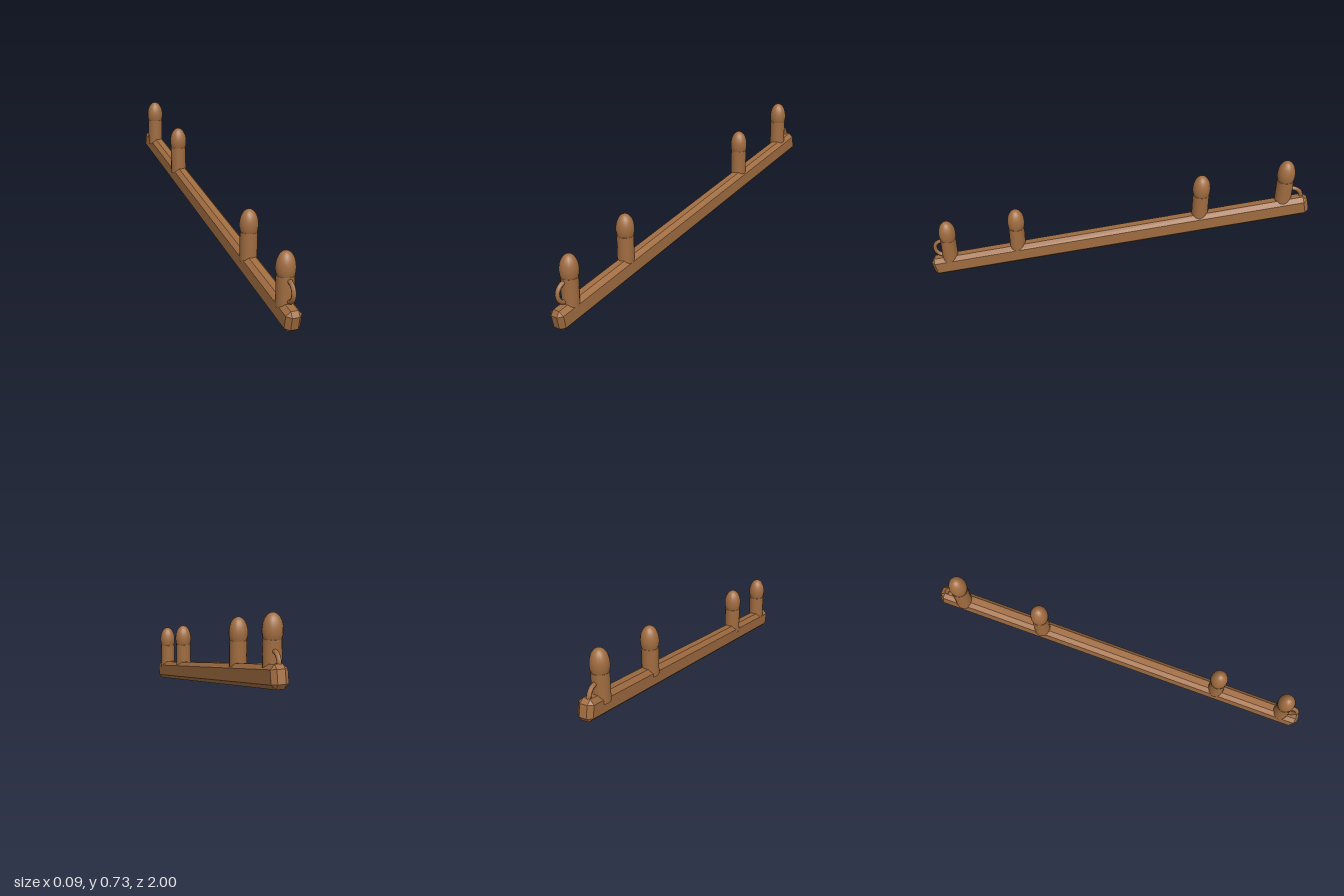
import * as THREE from 'three';
import { ConvexGeometry } from 'three/addons/geometries/ConvexGeometry.js';

const wood = new THREE.MeshStandardMaterial({ color: 0xa06c40 });
wood.name = 'brown wood';

// Box with every edge chamfered: each corner becomes three points
function chamferedBox(hx, hy, hz, bevel) {
  const points = [];
  for (const sx of [-1, 1]) for (const sy of [-1, 1]) for (const sz of [-1, 1]) {
    points.push(
      new THREE.Vector3(sx * hx, sy * (hy - bevel), sz * (hz - bevel)),
      new THREE.Vector3(sx * (hx - bevel), sy * hy, sz * (hz - bevel)),
      new THREE.Vector3(sx * (hx - bevel), sy * (hy - bevel), sz * hz)
    );
  }
  return new ConvexGeometry(points);
}

function addMesh(parent, name, geometry, x, y, z) {
  const mesh = new THREE.Mesh(geometry, wood);
  mesh.name = name;
  mesh.position.set(x, y, z);
  parent.add(mesh);
  return mesh;
}

export function createModel() {
  const model = new THREE.Group();
  model.name = 'peggedRail';

  // Long sloping beam, very slightly turned
  const beam = addMesh(model, 'beam', chamferedBox(0.039, 0.052, 1.017, 0.021), 0.002, 0.268, 0);
  beam.rotation.set(0.2175, -0.005, 0);

  // Upright pegs with egg-shaped heads: [z, top height]
  const pegX = -0.003;
  const headRadius = 0.0455, headHeight = 0.076;
  const cut = Math.acos(-0.034 / headHeight);
  const headGeometry = new THREE.SphereGeometry(1, 16, 12, 0, Math.PI * 2, 0, cut);
  headGeometry.scale(headRadius, headHeight, headRadius);
  const shaftGeometry = new THREE.CylinderGeometry(0.042, 0.042, 0.145, 16);
  for (const [z, top] of [[0.894, 0.345], [0.52, 0.425], [-0.445, 0.64], [-0.865, 0.73]]) {
    const peg = new THREE.Group();
    peg.name = 'peg';
    peg.position.set(pegX, top, z);
    addMesh(peg, 'pegHead', headGeometry, 0, -headHeight, 0);
    addMesh(peg, 'pegShaft', shaftGeometry, 0, -0.11 - 0.0725, 0);
    model.add(peg);
  }

  // Rings beside the end pegs, partly sunk into the wood
  const ringGeometry = new THREE.TorusGeometry(0.047, 0.011, 8, 24);
  ringGeometry.rotateY(Math.PI / 2);
  addMesh(model, 'frontRing', ringGeometry, pegX, 0.172, 0.925);
  addMesh(model, 'backRing', ringGeometry, 0.002, 0.526, -0.907);

  return model;
}
